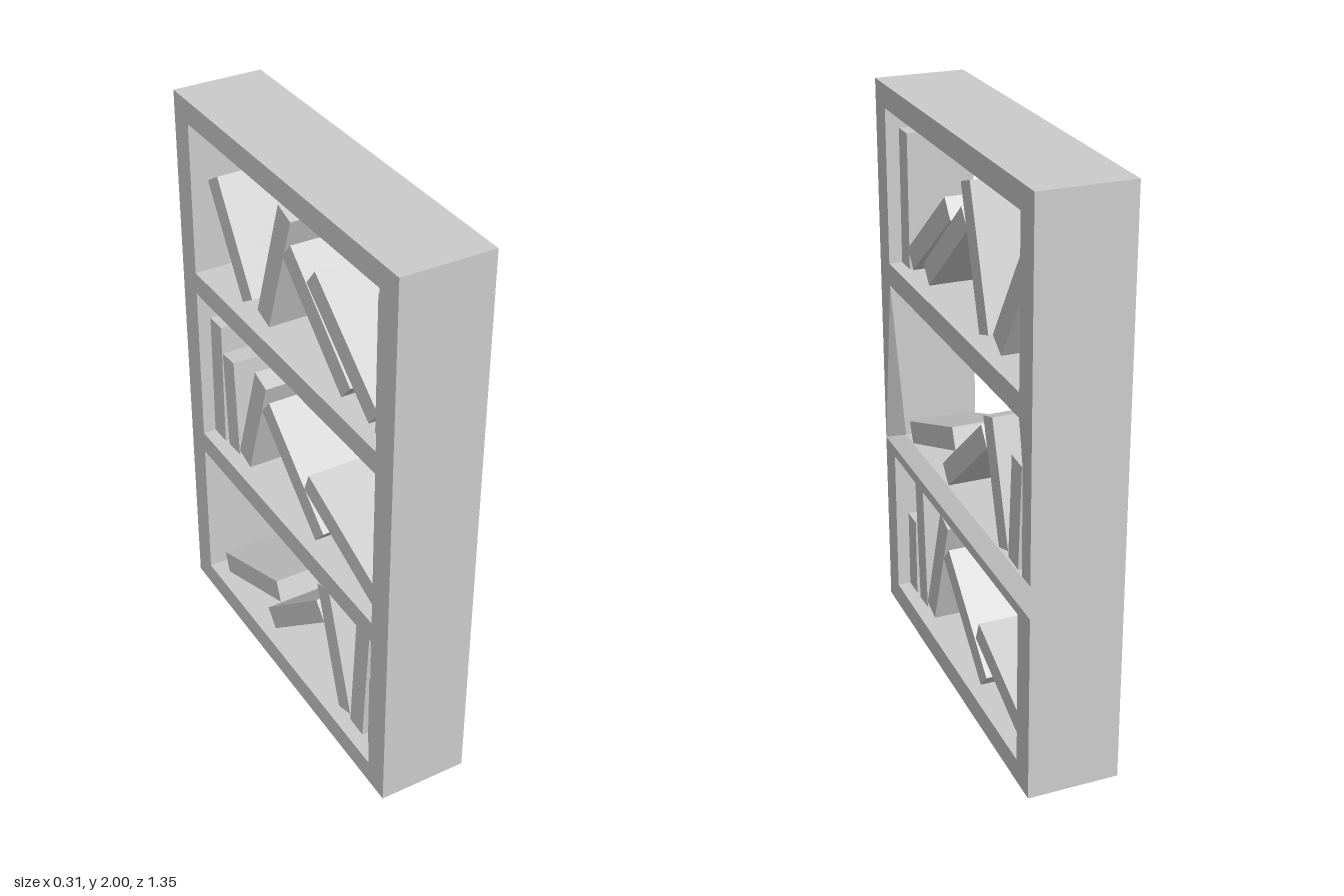
import * as THREE from 'three';

const D = 0.157;      // half depth along x
const W = 0.675;      // half width along z
const I = 0.58;       // half width of the openings
const LIP = 0.112;    // recessed front edge of the middle shelf
const OPENINGS = [[0.085, 0.63], [0.71, 1.295], [1.375, 1.92]];

const shellMat = new THREE.MeshStandardMaterial({ color: 0xcccccc, flatShading: true, side: THREE.DoubleSide });
const bookMat = new THREE.MeshStandardMaterial({ color: 0xcccccc, flatShading: true });

function add(parent, name, geometry, material = shellMat) {
  const mesh = new THREE.Mesh(geometry, material);
  mesh.name = name;
  parent.add(mesh);
  return mesh;
}

// Flat quads, each given as four [x, y, z] corners, counter-clockwise from outside
function quads(list) {
  const pos = list.flatMap(([a, b, c, d]) => [a, b, c, a, c, d].flat());
  const g = new THREE.BufferGeometry();
  g.setAttribute('position', new THREE.Float32BufferAttribute(pos, 3));
  g.computeVertexNormals();
  return g;
}

// Wall running along a path of [x, y, z] points on the +x side, back to x = -D
function wall(path) {
  const list = [];
  for (let i = 0; i < path.length - 1; i++) {
    const a = path[i], b = path[i + 1];
    list.push([a, b, [-D, b[1], b[2]], [-D, a[1], a[2]]]);
  }
  return quads(list);
}

const rect = (w, y0, y1) => [[-w, y0], [w, y0], [w, y1], [-w, y1]];
const points = (list) => list.map(([u, v]) => new THREE.Vector2(u, v));

// Flat face sheet with openings, turned to face +x (side 1) or -x (side -1)
function sheet(outline, holes, side) {
  const shape = new THREE.Shape(points(outline));
  for (const [y0, y1] of holes) shape.holes.push(new THREE.Path(points(rect(I, y0, y1).reverse())));
  return new THREE.ShapeGeometry(shape).rotateY(side * Math.PI / 2).translate(side * D, 0, 0);
}

// Book box between the middle of its lower end and the middle of its upper end
function addBook(parent, z0, y0, z1, y1) {
  const dz = z1 - z0, dy = y1 - y0;
  const book = add(parent, 'book', new THREE.BoxGeometry(0.22, Math.hypot(dz, dy), 0.08), bookMat);
  book.position.set(0, (y0 + y1) / 2, (z0 + z1) / 2);
  book.rotation.x = Math.atan2(dz, dy);
}

export function createModel() {
  const model = new THREE.Group();
  model.name = 'bookshelf';

  // Hollow case, open underneath
  const bookcase = new THREE.Group();
  bookcase.name = 'bookcase';
  model.add(bookcase);
  add(bookcase, 'outerWalls', wall([[D, 0, W], [D, 2, W], [D, 2, -W], [D, 0, -W]]));
  add(bookcase, 'rearFace', sheet(rect(W, 0, 2), OPENINGS, -1));
  add(bookcase, 'lowerFace', sheet(rect(W, 0, 0.667), [OPENINGS[0]], 1));
  add(bookcase, 'upperFace', sheet(
    [[-W, 1.33], [-I, 1.295], [I, 1.295], [W, 1.33], [W, 2], [-W, 2]], [OPENINGS[2]], 1));

  // Bevelled middle shelf edge and the posts that lean in to meet it
  add(bookcase, 'shelfBevel', quads([
    [[D, 0.667, W], [D, 0.667, -W], [LIP, 0.71, -I], [LIP, 0.71, I]],
  ]));
  add(bookcase, 'middlePosts', quads([
    [[D, 0.667, W], [LIP, 0.71, I], [D, 1.295, I], [D, 1.33, W]],
    [[D, 1.33, -W], [D, 1.295, -I], [LIP, 0.71, -I], [D, 0.667, -W]],
  ]));

  // Linings of the three openings
  OPENINGS.forEach(([y0, y1], i) => {
    const x = i === 1 ? LIP : D;
    add(bookcase, 'openingLining', wall([[D, y1, I], [x, y0, I], [x, y0, -I], [D, y1, -I], [D, y1, I]]));
  });

  // Books: lower end z, y and upper end z, y
  const rows = {
    topBooks: [
      [0.54, 1.375, 0.54, 1.85], [0.488, 1.416, 0.122, 1.706], [0.331, 1.414, -0.027, 1.721],
      [-0.186, 1.395, -0.037, 1.843], [-0.294, 1.403, -0.515, 1.745],
    ],
    middleBooks: [
      [0.523, 0.745, 0.088, 0.915], [0.172, 0.743, -0.186, 1.048], [-0.35, 0.727, -0.218, 1.133],
      [-0.43, 0.719, -0.454, 1.088], [-0.54, 0.71, -0.54, 1.185],
    ],
    bottomBooks: [
      [0.54, 0.085, 0.54, 0.385], [0.424, 0.088, 0.454, 0.56], [0.345, 0.1, 0.196, 0.546],
      [-0.175, 0.114, 0.178, 0.424], [-0.528, 0.122, -0.119, 0.284],
    ],
  };
  for (const [name, books] of Object.entries(rows)) {
    const row = new THREE.Group();
    row.name = name;
    model.add(row);
    for (const b of books) addBook(row, ...b);
  }
  return model;
}
